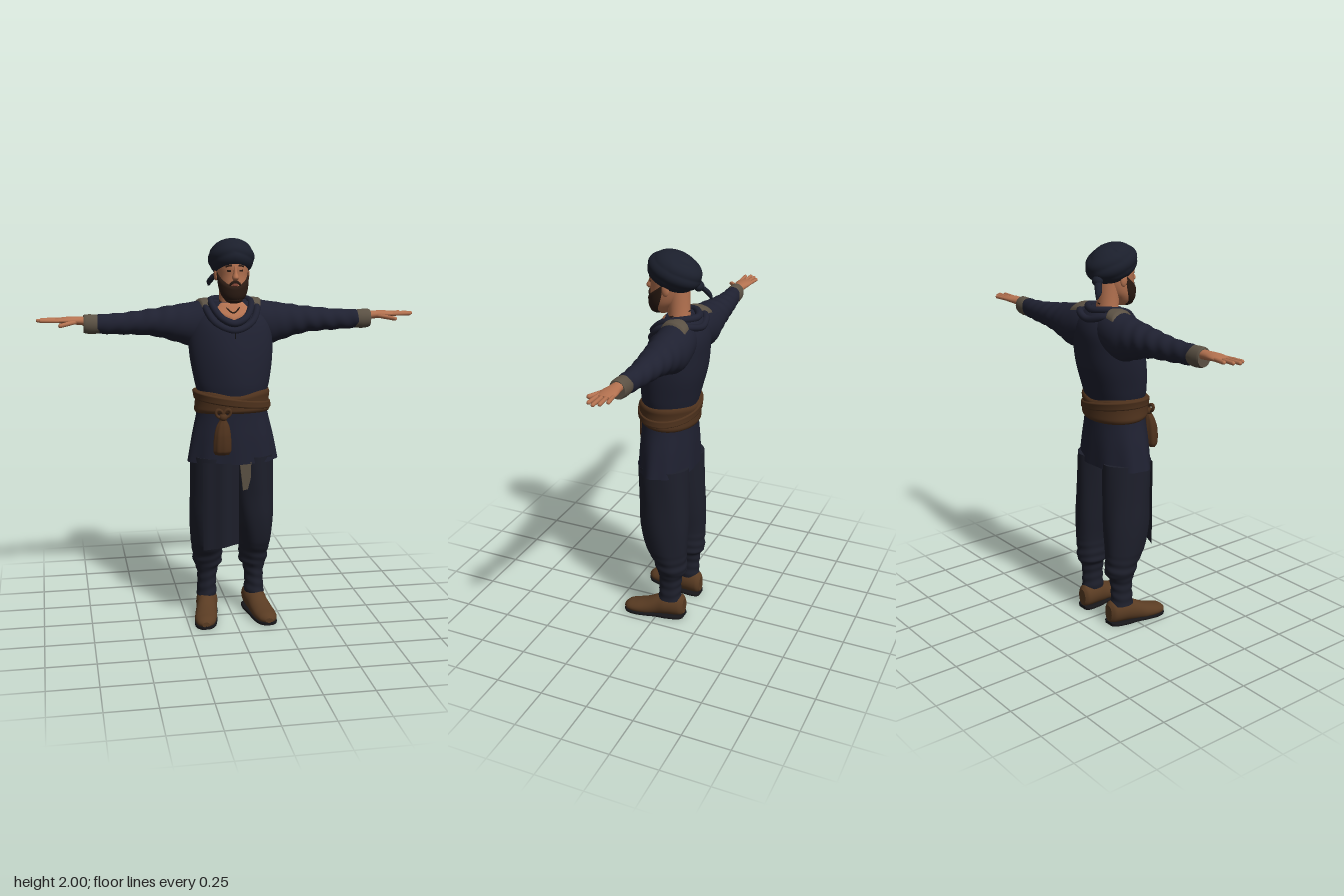
import * as THREE from 'three';

const mat = (name, color, side = THREE.FrontSide) => {
  const m = new THREE.MeshStandardMaterial({ color, side });
  m.name = name;
  return m;
};

// Smooth interpolation of cross-section rows [t, a, b, ra, rb] at position t
function section(rows, t) {
  let k = 0;
  while (k < rows.length - 2 && t > rows[k + 1][0]) k++;
  const p = rows[Math.max(k - 1, 0)], q = rows[k], r = rows[k + 1], s = rows[Math.min(k + 2, rows.length - 1)];
  const h = r[0] - q[0], f = THREE.MathUtils.clamp((t - q[0]) / h, 0, 1);
  return q.map((v, i) => {
    const m0 = (r[i] - p[i]) / (r[0] - p[0]) * h, m1 = (s[i] - v) / (s[0] - q[0]) * h;
    return v * (1 + 2 * f) * (1 - f) ** 2 + m0 * f * (1 - f) ** 2 + r[i] * f * f * (3 - 2 * f) + m1 * f * f * (f - 1);
  });
}

// Surface along an axis: a full capped loft, or a raised patch lying on one
function skin(axis, rows, o = {}) {
  const { u0 = 0, u1 = 2 * Math.PI, off = 0, nu = 32, nv = 40, fold = () => 0, post } = o;
  const closed = u1 - u0 > 6.28, full = o.lo === undefined;
  const val = (f, u) => (typeof f === 'function' ? f(u) : f);
  const pos = [], idx = [], n = closed ? nu : nu + 1;
  const put = (t, a, b) => {
    const v = axis === 'x' ? [t, a, b] : axis === 'y' ? [a, t, b] : [a, b, t];
    if (post) post(v);
    pos.push(...v);
  };
  for (let j = 0; j <= nv; j++) for (let i = 0; i < n; i++) {
    const u = u0 + (u1 - u0) * i / nu, v = j / nv;
    const lo = full ? rows[0][0] : val(o.lo, u), hi = full ? rows.at(-1)[0] : val(o.hi, u);
    const t = lo + (hi - lo) * v;
    const [, a, b, ra, rb] = section(rows, t), w = 1 + fold(u, t);
    const edge = Math.min(v, 1 - v, closed ? 1 : Math.min(i, nu - i) / nu);
    const e = off * (Math.sqrt(Math.min(1, edge * 6)) * 1.15 - 0.15);
    const s = Math.sin(u), c = Math.cos(u);
    if (axis === 'y') put(t, a + (ra * w + e) * s, b + (rb * w + e) * c);
    else put(t, a + (ra * w + e) * c, b + (rb * w + e) * s);
  }
  for (let j = 0; j < nv; j++) for (let i = 0; i < nu; i++) {
    const a = j * n + i, b = j * n + (i + 1) % n;
    idx.push(a, b, b + n, a, b + n, a + n);
  }
  if (full) for (const end of [0, 1]) {
    const base = pos.length / 3, from = end ? nv * n : 0, r = rows.at(end ? -1 : 0);
    for (let i = 0; i < n; i++) pos.push(...pos.slice((from + i) * 3, (from + i) * 3 + 3));
    put(r[0], r[1], r[2]);
    for (let i = 0; i < n; i++) {
      const a = base + i, b = base + (i + 1) % n;
      idx.push(...(end ? [a, b, base + n] : [b, a, base + n]));
    }
  }
  const g = new THREE.BufferGeometry();
  g.setAttribute('position', new THREE.Float32BufferAttribute(pos, 3));
  g.setIndex(idx);
  g.computeVertexNormals();
  return g;
}

// Copy of a geometry mirrored to the other side
function mirrored(geo) {
  const g = geo.clone().scale(-1, 1, 1), ix = g.index.array;
  for (let i = 0; i < ix.length; i += 3) [ix[i], ix[i + 1]] = [ix[i + 1], ix[i]];
  g.computeVertexNormals();
  return g;
}

const V = (x, y, z) => new THREE.Vector3(x, y, z);
function capsule(p, q, r) {
  const d = q.clone().sub(p), g = new THREE.CapsuleGeometry(r, d.length() - r, 4, 10);
  g.applyQuaternion(new THREE.Quaternion().setFromUnitVectors(V(0, 1, 0), d.normalize()));
  const m = p.clone().add(q).multiplyScalar(0.5);
  return g.translate(m.x, m.y, m.z);
}
const ball = (x, y, z, a, b, c) => new THREE.SphereGeometry(1, 24, 16).scale(a, b, c).translate(x, y, z);
const tube = (pts, r, closed) => new THREE.TubeGeometry(new THREE.CatmullRomCurve3(pts, closed), 64, r, 10, closed);

export function createModel() {
  const model = new THREE.Group();
  const navy = mat('navyCloth', 0x1f2131), trouser = mat('trouserCloth', 0x1d1f2b, THREE.DoubleSide);
  const turbanMat = mat('turbanCloth', 0x1b1f2c), sashMat = mat('sashBrown', 0x4d311c);
  const leather = mat('shoeLeather', 0x5a3c23), sole = mat('soleBlack', 0x18171a);
  const flesh = mat('skin', 0xb47250), hair = mat('hair', 0x2b1b13);
  const lining = mat('greyLining', 0x5b5144), lip = mat('lips', 0x8a4a3a);
  const add = (name, geo, m) => {
    const mesh = new THREE.Mesh(geo, m);
    mesh.name = name;
    model.add(mesh);
  };
  const pair = (name, geo, m) => {
    add(name + 'Left', geo, m);
    add(name + 'Right', mirrored(geo), m);
  };

  // Tunic with a flared, folded hem
  const torso = [[0.87, 0, -0.005, 0.236, 0.145], [1.0, 0, -0.005, 0.212, 0.142], [1.12, 0, -0.006, 0.185, 0.136],
    [1.2, 0, -0.006, 0.176, 0.136], [1.28, 0, -0.012, 0.193, 0.148], [1.4, 0, -0.03, 0.212, 0.158],
    [1.5, 0, -0.045, 0.216, 0.152], [1.58, 0, -0.06, 0.205, 0.138], [1.64, 0, -0.072, 0.17, 0.108], [1.685, 0, -0.07, 0.1, 0.08]];
  const tunicFold = (u, t) => t < 1.12 ? 0.09 * (1.12 - t) * Math.sin(9 * u + 1)
    : 0.012 * Math.sin(5 * u + 6 * t) * Math.min(1, (t - 1.12) * 6) * Math.min(1, (1.69 - t) * 8);
  add('tunic', skin('y', torso, { nu: 72, nv: 60, fold: tunicFold }), navy);
  add('neckline', skin('y', torso, { u0: -0.6, u1: 0.6, lo: (u) => 1.6 + 0.07 * Math.abs(u), hi: 1.684, off: 0.006, nu: 16, nv: 10 }), flesh);
  add('tunicSlit', skin('y', torso, { u0: -0.012, u1: 0.012, lo: 1.51, hi: 1.57, off: 0.006, nu: 4, nv: 8, fold: tunicFold }), sole);

  // Draped collar
  const ring = (pts) => [...pts, ...pts.slice(1, -1).reverse().map((p) => V(-p.x, p.y, p.z))];
  add('collar', tube(ring([V(0, 1.585, 0.078), V(0.06, 1.61, 0.06), V(0.1, 1.67, -0.01), V(0.09, 1.69, -0.1), V(0, 1.685, -0.15)]), 0.018, true), navy);
  add('collarDrape', tube(ring([V(0, 1.55, 0.085), V(0.09, 1.585, 0.055), V(0.13, 1.65, -0.01), V(0.11, 1.665, -0.14), V(0, 1.64, -0.175)]), 0.018, true), navy);
  add('necklace', tube(ring([V(0, 1.635, 0.046), V(0.035, 1.66, 0.022), V(0.056, 1.69, -0.04), V(0, 1.71, -0.105)]), 0.004, true), hair);

  // Sash in two overlapping wraps
  add('sash', skin('y', torso, { lo: (u) => 1.12 + 0.012 * Math.cos(u), hi: (u) => 1.245 - 0.02 * Math.cos(u) ** 8, off: 0.016, nu: 64, nv: 20 }), sashMat);
  add('sashWrap', skin('y', torso, { lo: (u) => 1.165 - 0.025 * Math.sin(u), hi: (u) => 1.215 - 0.03 * Math.sin(u), off: 0.023, nu: 64, nv: 16 }), sashMat);

  // Knot and pouch hanging at the front
  add('pouch', skin('y', [[0.935, -0.078, 0.165, 0.036, 0.02], [0.955, -0.078, 0.167, 0.046, 0.032], [1.03, -0.077, 0.166, 0.043, 0.034],
    [1.08, -0.075, 0.162, 0.033, 0.026], [1.11, -0.073, 0.158, 0.017, 0.018]], { fold: (u) => 0.05 * Math.sin(8 * u) }), sashMat);
  add('sashKnot', ball(-0.072, 1.125, 0.158, 0.022, 0.02, 0.02), sashMat);
  for (const s of [-1, 1]) {
    const g = new THREE.TorusGeometry(0.02, 0.009, 8, 20).scale(0.8, 1, 1).rotateZ(-s * 0.6);
    add('knotLoop', g.translate(-0.072 + s * 0.02, 1.145, 0.16), sashMat);
  }

  // Sleeves, shoulder openings and cuffs
  const arm = [[0.04, 1.59, -0.085, 0.1, 0.09], [0.12, 1.582, -0.087, 0.11, 0.1], [0.2, 1.567, -0.09, 0.112, 0.1], [0.28, 1.573, -0.09, 0.094, 0.09],
    [0.4, 1.58, -0.092, 0.069, 0.074], [0.55, 1.577, -0.088, 0.055, 0.055], [0.66, 1.578, -0.08, 0.049, 0.044], [0.69, 1.578, -0.078, 0.044, 0.04]];
  const sleeveFold = (u, t) => t < 0.2 ? 0 : 0.035 * Math.min(1, (t - 0.2) * 6) * Math.sin(t * 75 + 2.5 * Math.sin(u + 1));
  pair('sleeve', skin('x', arm, { nv: 80, fold: sleeveFold }), navy);
  pair('shoulderOpening', skin('x', arm, { u0: -0.75, u1: 0.75, lo: (u) => 0.1 + 0.01 * Math.sin(7 * u), hi: (u) => 0.165 - 0.02 * u, off: 0.009, nu: 20, nv: 12 }), lining);
  pair('cuff', skin('x', [[0.665, 1.578, -0.079, 0.046, 0.042], [0.7, 1.578, -0.078, 0.05, 0.044], [0.735, 1.58, -0.077, 0.048, 0.042], [0.745, 1.58, -0.077, 0.044, 0.039]]), lining);

  // Hands
  pair('palm', skin('x', [[0.72, 1.594, -0.079, 0.024, 0.027], [0.77, 1.597, -0.08, 0.021, 0.031], [0.82, 1.6, -0.081, 0.018, 0.041],
    [0.86, 1.6, -0.082, 0.014, 0.042], [0.885, 1.6, -0.082, 0.009, 0.037]], { nu: 24, nv: 16 }), flesh);
  [[-0.113, 0.925, -0.125], [-0.092, 0.958, -0.1], [-0.071, 0.975, -0.076], [-0.051, 0.96, -0.048]].forEach(([z, tip, z2], i) =>
    pair('finger' + (i + 1), capsule(V(0.85, 1.6, z), V(tip, 1.602, z2), 0.0095), flesh));
  pair('thumb', capsule(V(0.78, 1.594, -0.062), V(0.865, 1.582, 0.003), 0.011), flesh);

  // Baggy trousers gathered above the ankle
  const leg = [[0.11, 0.13, -0.06, 0.054, 0.062], [0.2, 0.128, -0.062, 0.05, 0.06], [0.265, 0.126, -0.064, 0.06, 0.068], [0.29, 0.124, -0.068, 0.075, 0.083],
    [0.34, 0.125, -0.06, 0.078, 0.09], [0.42, 0.128, -0.04, 0.086, 0.113], [0.55, 0.122, -0.026, 0.1, 0.13], [0.7, 0.113, -0.02, 0.107, 0.132], [0.9, 0.105, -0.012, 0.112, 0.136]];
  const legFold = (u, t) => 0.012 * Math.sin(6 * u + 9 * t) + (t < 0.42 ? 0.035 * Math.sin(t * 120 + 2 * Math.sin(u)) * Math.min(1, (0.42 - t) * 10) : 0);
  pair('trouserLeg', skin('y', leg, { nv: 90, nu: 48, fold: legFold }), trouser);

  // Cloth panel over the right leg
  const panel = new THREE.PlaneGeometry(1, 1, 16, 16), p = panel.attributes.position;
  for (let i = 0; i < p.count; i++) {
    const f = p.getX(i) + 0.5, g = p.getY(i) + 0.5, x = -0.17 + 0.182 * f, low = 0.41 + 0.035 * f;
    p.setXYZ(i, x, low + (0.88 - low) * g, 0.143 - 2.5 * (x + 0.05) ** 2 + 0.003 * Math.sin(x * 70));
  }
  panel.computeVertexNormals();
  add('frontPanel', panel, trouser);

  // Grey cloth end below the hem
  const end = new THREE.Shape([[0.018, 0.88], [0.03, 0.78], [0.035, 0.73], [0.06, 0.735], [0.075, 0.79], [0.078, 0.88]].map(([x, y]) => new THREE.Vector2(x, y)));
  add('clothEnd', new THREE.ExtrudeGeometry(end, { depth: 0.012, bevelEnabled: false }).translate(0, 0, 0.118), lining);

  // Shoes turned slightly outward, with dark soles
  const shoe = [[-0.14, 0.118, 0.065, 0.028, 0.045], [-0.125, 0.12, 0.07, 0.047, 0.06], [-0.05, 0.13, 0.07, 0.058, 0.065], [0, 0.138, 0.058, 0.055, 0.06],
    [0.06, 0.15, 0.04, 0.058, 0.048], [0.12, 0.16, 0.033, 0.057, 0.036], [0.165, 0.165, 0.03, 0.044, 0.027], [0.185, 0.168, 0.026, 0.02, 0.014]];
  pair('shoe', skin('z', shoe, { post: (v) => { v[1] = Math.max(v[1], 0.014); } }), leather);
  pair('sole', skin('z', shoe.map(([z, x, , r]) => [z, x, 0.008, r * 1.03, 0.03]),
    { post: (v) => { v[1] = THREE.MathUtils.clamp(v[1], 0, 0.017); } }), sole);

  // Head, neck and face
  const head = [[1.69, 0, 0.04, 0.03, 0.038], [1.72, 0, 0.036, 0.055, 0.058], [1.76, 0, 0.018, 0.07, 0.08], [1.82, 0, 0.002, 0.077, 0.094],
    [1.88, 0, 0, 0.08, 0.097], [1.95, 0, -0.01, 0.07, 0.08]];
  add('head', skin('y', head), flesh);
  add('neck', skin('y', [[1.6, 0, -0.06, 0.07, 0.06], [1.7, 0, -0.052, 0.058, 0.055], [1.85, 0, -0.045, 0.06, 0.058]]), flesh);
  add('nose', skin('y', [[1.803, 0, 0.098, 0.01, 0.014], [1.814, 0, 0.098, 0.017, 0.026], [1.84, 0, 0.094, 0.01, 0.018], [1.872, 0, 0.09, 0.008, 0.01]], { nu: 16, nv: 16 }), flesh);
  pair('ear', ball(0.08, 1.825, -0.012, 0.011, 0.032, 0.02), flesh);
  add('beard', skin('y', head, { u0: -1.55, u1: 1.55, lo: 1.69, hi: (u) => 1.772 + 0.075 * Math.min(1, Math.abs(u) / 1.5) ** 1.6, off: 0.01, nu: 40, nv: 20 }), hair);
  add('beardTip', ball(0, 1.705, 0.055, 0.045, 0.022, 0.043), hair);
  add('moustache', skin('y', head, { u0: -0.42, u1: 0.42, lo: (u) => 1.787 - 0.12 * u * u, hi: (u) => 1.803 - 0.12 * u * u, off: 0.009, nu: 20, nv: 10 }), hair);
  add('lips', skin('y', head, { u0: -0.2, u1: 0.2, lo: 1.773, hi: 1.787, off: 0.006, nu: 12, nv: 8 }), lip);
  pair('eye', skin('y', head, { u0: 0.28, u1: 0.52, lo: 1.844, hi: 1.853, off: 0.003, nu: 10, nv: 8 }), hair);
  pair('eyebrow', skin('y', head, { u0: 0.2, u1: 0.62, lo: (u) => 1.862 + 0.008 * Math.sin(5 * u), hi: (u) => 1.87 + 0.008 * Math.sin(5 * u), off: 0.004, nu: 12, nv: 8 }), hair);

  // Turban with slanted wraps, tilted up at the front, and a loose tail
  const turban = new THREE.SphereGeometry(1, 64, 48), q = turban.attributes.position;
  for (let i = 0; i < q.count; i++) {
    const v = V().fromBufferAttribute(q, i);
    const w = 0.965 + 0.035 * Math.abs(Math.sin(5 * (v.y + 0.3 * Math.abs(v.x) * Math.sign(v.z + 0.01))));
    q.setXYZ(i, v.x * w, v.y * w, v.z * w);
  }
  turban.scale(0.117, 0.097, 0.141).rotateX(-0.3);
  turban.computeVertexNormals();
  add('turban', turban.translate(0, 1.902, -0.027), turbanMat);
  add('turbanKnot', ball(-0.035, 1.83, -0.14, 0.03, 0.026, 0.025), turbanMat);
  add('turbanTail', skin('y', [[1.752, -0.092, -0.186, 0.004, 0.003], [1.78, -0.085, -0.172, 0.018, 0.014], [1.81, -0.062, -0.155, 0.02, 0.016], [1.84, -0.035, -0.135, 0.016, 0.014]], { nu: 16, nv: 16 }), turbanMat);

  return model;
}
